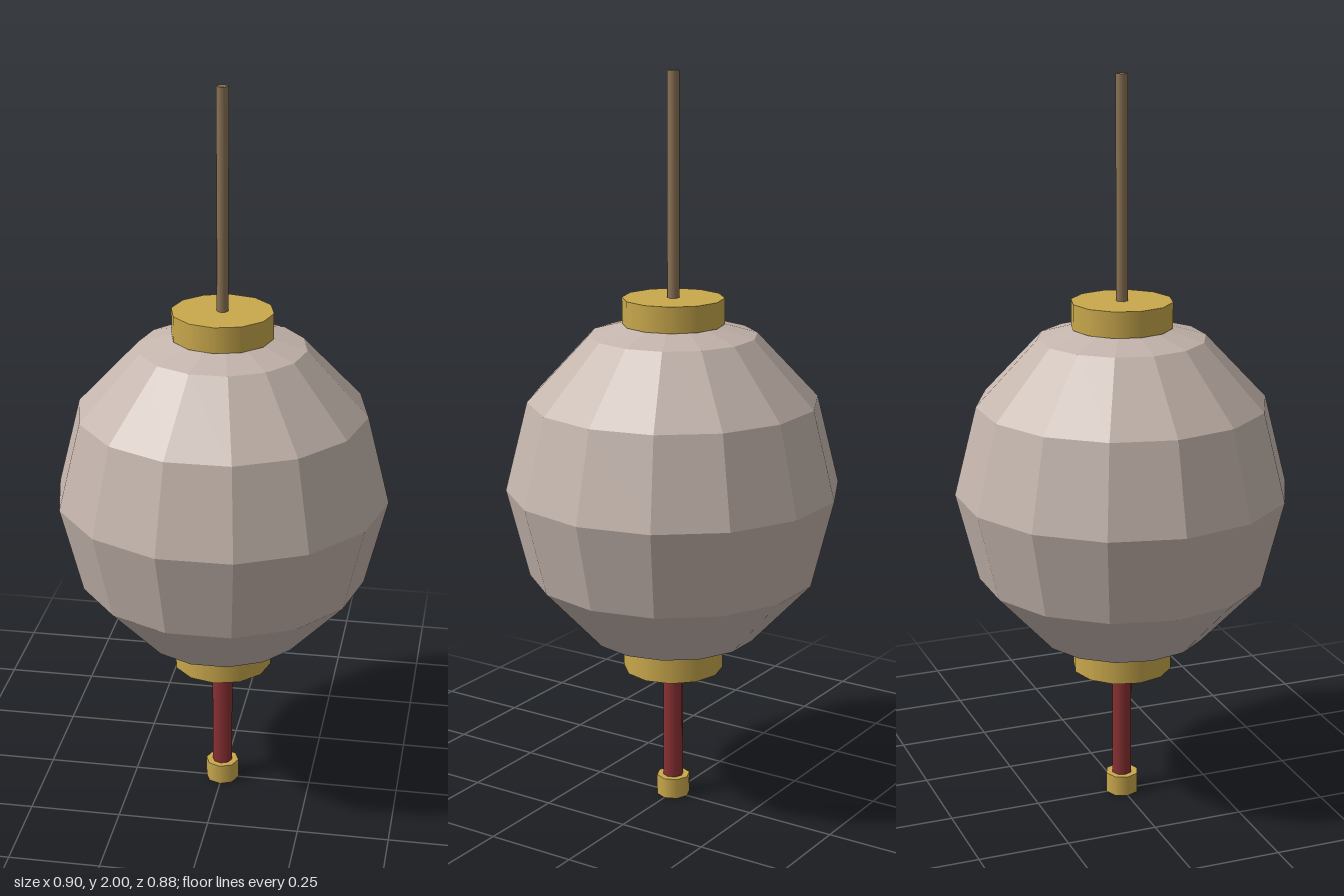
import * as THREE from 'three';

const material = (name, color, flatShading = false) => {
  const m = new THREE.MeshStandardMaterial({ color, flatShading });
  m.name = name;
  return m;
};

export function createModel() {
  const model = new THREE.Group();
  model.name = 'hangingLantern';

  const paper = material('pale paper', 0xc4b5ad, true);
  const gold = material('gold', 0xc9a84c);
  const wood = material('brown cord', 0x8b7355);
  const red = material('dark red', 0x8a3033);

  // Upright prism between two heights, with a corner on the x axis
  const post = (name, radius, bottom, top, sides, mat) => {
    const geometry = new THREE.CylinderGeometry(radius, radius, top - bottom, sides);
    geometry.rotateY(Math.PI / 2);
    const mesh = new THREE.Mesh(geometry, mat);
    mesh.name = name;
    mesh.position.y = (top + bottom) / 2;
    model.add(mesh);
  };

  // Faceted paper globe, slightly taller than wide
  const globe = new THREE.Mesh(new THREE.SphereGeometry(0.45, 14, 6), paper);
  globe.name = 'paperGlobe';
  globe.scale.y = 1.07;
  globe.position.y = 0.895;
  model.add(globe);

  // Gold collars above and below the globe
  post('topCap', 0.136, 1.34, 1.41, 12, gold);
  post('bottomCap', 0.136, 0.378, 0.448, 12, gold);

  // Hanging cord, tassel and its end bead
  post('hangingCord', 0.016, 1.38, 2, 6, wood);
  post('tassel', 0.028, 0.03, 0.4, 8, red);
  post('tasselBead', 0.046, 0, 0.057, 8, gold);

  return model;
}
